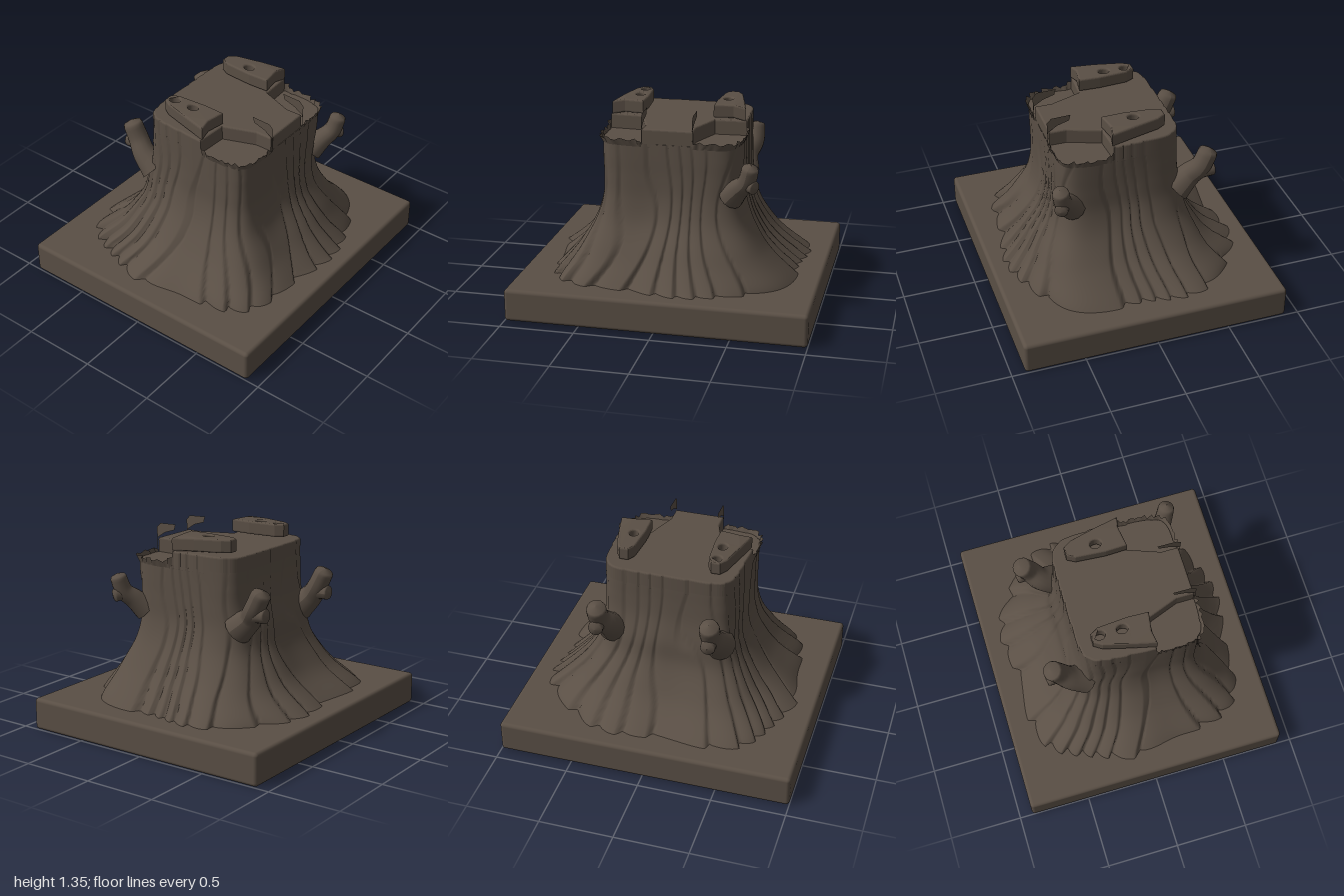
import * as THREE from 'three';
import { RoundedBoxGeometry } from 'three/addons/geometries/RoundedBoxGeometry.js';

const V = (x, y, z) => new THREE.Vector3(x, y, z);
const FLOOR = 1.14; // height of the sunken front pockets
const TOP = 1.24;   // height of the cut top

// Trunk profile: height, half width, front depth, back depth
const PROFILE = [
  [0.19, 0.92, 0.85, 0.85], [0.25, 0.84, 0.78, 0.76], [0.35, 0.72, 0.69, 0.62],
  [0.45, 0.625, 0.62, 0.53], [0.6, 0.53, 0.53, 0.44], [0.75, 0.48, 0.49, 0.41],
  [0.9, 0.468, 0.48, 0.37], [1.03, 0.465, 0.48, 0.355], [FLOOR, 0.465, 0.48, 0.35],
];
const frontCurve = new THREE.CatmullRomCurve3(PROFILE.map(p => V(p[1], p[0], p[2])), false, 'catmullrom');
const backCurve = new THREE.CatmullRomCurve3(PROFILE.map(p => V(p[1], p[0], p[3])), false, 'catmullrom');

// Sharp-edged bark ridges, 0 (crack) to 1 (crest)
function bark(a, y) {
  const sway = 0.12 * Math.sin(4 * y + 3 * a) + 0.05 * Math.sin(9 * y + 5 * a);
  const u = 27 * (a + sway * 0.5) / (2 * Math.PI) + 0.55 * Math.sin(5 * a) + 0.35 * Math.sin(3 * a + 1);
  const f = u - Math.floor(u);
  return f < 0.15 ? f / 0.15 : 1 - Math.pow((f - 0.15) / 0.85, 2) * 0.8;
}

// Point on the trunk at angle a and profile position t
function trunkPoint(a, t) {
  const f = frontCurve.getPoint(t), b = backCurve.getPoint(t);
  const c = Math.cos(a), s = Math.sin(a), n = 2.7 + 4.3 * Math.min(1, t * 1.15);
  const flare = Math.pow(1 - t, 1.5);
  let r = Math.pow(Math.abs(c) ** n + Math.abs(s) ** n, -1 / n);
  r *= 1 - (0.018 + 0.06 * flare) * (1 - bark(a, f.y));
  r *= 1 - 0.035 * flare * (1 + Math.sin(7 * a + 1));
  const mid = (f.z - b.z) / 2, half = (f.z + b.z) / 2;
  const taper = 1 - 0.05 * t * Math.max(0, -s * r);
  return V(f.x * r * c * taper, f.y, mid + half * r * s);
}

function trunkGeometry() {
  const N = 400, M = 44, pos = [], idx = [];
  for (let j = 0; j <= M; j++)
    for (let i = 0; i < N; i++) pos.push(...trunkPoint(i / N * Math.PI * 2, j / M).toArray());
  for (let j = 0; j < M; j++)
    for (let i = 0; i < N; i++) {
      const a = j * N + i, b = j * N + (i + 1) % N;
      idx.push(a, a + N, b, b, a + N, b + N);
    }
  const g = new THREE.BufferGeometry();
  g.setAttribute('position', new THREE.Float32BufferAttribute(pos, 3));
  g.setIndex(idx);
  g.computeVertexNormals();
  return g;
}

// Shape drawn on the ground plane from [x, z] pairs
const planShape = pts => new THREE.Shape(pts.map(([x, z]) => new THREE.Vector2(x, -z)));

function slab(shape, y, height, bevel) {
  const g = new THREE.ExtrudeGeometry(shape, {
    depth: height - 2 * bevel, bevelThickness: bevel, bevelSize: bevel,
    bevelOffset: -bevel, bevelSegments: 3, curveSegments: 16,
  });
  return g.rotateX(-Math.PI / 2).translate(0, y + bevel, 0);
}

// Rounded limb along a curve, with its own radius rule and a closed tip
function limb(points, r0, r1) {
  const curve = new THREE.CatmullRomCurve3(points), n = 20, m = 14;
  const g = new THREE.TubeGeometry(curve, n, 1, m, false), p = g.attributes.position;
  const v = V(0, 0, 0);
  for (let i = 0; i <= n; i++) {
    const t = i / n, c = curve.getPointAt(t);
    const r = i === n ? 0.001 : (r0 + (r1 - r0) * t) * (1 - 0.14 * Math.sin(Math.PI * t)) * (i === n - 1 ? 0.9 : 1);
    for (let k = 0; k <= m; k++) {
      const q = i * (m + 1) + k;
      v.fromBufferAttribute(p, q).sub(c).multiplyScalar(r).add(c);
      p.setXYZ(q, v.x, v.y, v.z);
    }
  }
  g.computeVertexNormals();
  return g;
}

// Torn, jagged strip standing on the outer edge of a pocket
function jaggedRim(a0, a1) {
  const pos = [], idx = [], n = 26;
  for (let i = 0; i <= n; i++) {
    const p = trunkPoint(a0 + (a1 - a0) * i / n, 1);
    const h = 0.012 + 0.022 * Math.abs(Math.sin(i * 2.3)) + (i < 3 ? 0.045 - 0.02 * i : 0);
    const out = 1 + 0.05 * Math.abs(Math.sin(i * 1.7));
    pos.push(p.x, FLOOR - 0.02, p.z, p.x * out, FLOOR + h, p.z * out);
    if (i < n) idx.push(2 * i, 2 * i + 1, 2 * i + 2, 2 * i + 2, 2 * i + 1, 2 * i + 3);
  }
  const g = new THREE.BufferGeometry();
  g.setAttribute('position', new THREE.Float32BufferAttribute(pos, 3));
  g.setIndex(idx);
  g.computeVertexNormals();
  return g;
}

export function createModel() {
  const group = new THREE.Group();
  const wood = new THREE.MeshStandardMaterial({ color: 0x5a4f45 });
  const thin = new THREE.MeshStandardMaterial({ color: 0x5a4f45, side: THREE.DoubleSide });
  const add = (name, geometry, material = wood) => {
    const mesh = new THREE.Mesh(geometry, material);
    mesh.name = name;
    group.add(mesh);
    return mesh;
  };

  // Square plinth
  add('base', new RoundedBoxGeometry(2, 0.22, 1.82, 4, 0.025).translate(0, 0.11, 0));

  // Flared trunk and the floor of its front pockets
  add('trunk', trunkGeometry());
  const outline = [];
  for (let i = 0; i < 240; i++) {
    const p = trunkPoint(-i / 240 * Math.PI * 2, 1);
    outline.push([p.x, p.z]);
  }
  add('pocketFloor', new THREE.ShapeGeometry(planShape(outline)).rotateX(-Math.PI / 2).translate(0, FLOOR, 0), thin);

  // Upper cut: full width behind, narrow tongue between the pockets in front
  const cut = [];
  for (let i = 0; i <= 160; i++) {
    const p = trunkPoint(0.6 - i / 160 * (Math.PI + 1.2), 1);
    if (p.z < 0.145) cut.push([p.x, p.z]);
  }
  cut.push([-0.25, 0.145], [-0.17, 0.36], [-0.17, 0.475], [0.17, 0.475], [0.17, 0.36], [0.25, 0.145]);
  add('trunkTop', slab(planShape(cut), FLOOR - 0.03, TOP - FLOOR + 0.03, 0.012));

  for (const [side, s] of [['left', 1], ['right', -1]]) {
    // Torn pocket rims
    const a = s > 0 ? [0.16, 1.22] : [Math.PI - 0.16, Math.PI - 1.22];
    add(side + 'PocketRim', jaggedRim(...a), thin);

    // Wedge-shaped remnant with two holes
    const wedge = planShape([
      [0.25, -0.2], [0.28, -0.255], [0.34, -0.255], [0.375, -0.2], [0.42, -0.02],
      [0.455, 0.14], [0.37, 0.125], [0.24, 0.145], [0.235, 0],
    ].map(([x, z]) => [s * x, z]));
    for (const z of [-0.2, -0.05]) {
      const hole = new THREE.Path();
      hole.absellipse(s * 0.305, -z, 0.03, 0.037, 0, Math.PI * 2);
      wedge.holes.push(hole);
    }
    const remnant = slab(wedge, 1.25, 0.09, 0.012), p = remnant.attributes.position;
    for (let i = 0; i < p.count; i++) // outer end dips slightly
      p.setY(i, p.getY(i) - 0.25 * Math.max(0, Math.abs(p.getX(i)) - 0.4));
    remnant.computeVertexNormals();
    add(side + 'Remnant', remnant);

    // Thin upright splinter at the front
    const flag = new THREE.Shape([
      [0.478, 1.13], [0.486, 1.13], [0.483, 1.24], [0.42, 1.28], [0.34, 1.305],
      [0.33, 1.345], [0.46, 1.34], [0.49, 1.31], [0.486, 1.24],
    ].map(([z, y]) => new THREE.Vector2(-z, y)));
    add(side + 'Splinter', new THREE.ShapeGeometry(flag).rotateY(Math.PI / 2).translate(s * 0.168, 0, 0), thin);
  }

  // Forked branch stubs: two behind, one at the front left corner
  for (const [name, x0, x1] of [['left', 0.37, 0.41], ['right', -0.37, -0.35]]) {
    add(name + 'BackBranch', limb([V(x0, 0.76, -0.33), V(x0, 0.85, -0.43), V(x1, 0.93, -0.49), V(x1, 1.06, -0.552)], 0.105, 0.066));
    add(name + 'BackBranchFork', limb([V(x0, 0.85, -0.42), V(x1, 0.89, -0.5), V(x1, 0.895, -0.59)], 0.07, 0.05));
  }
  add('frontBranch', limb([V(0.41, 0.8, 0.4), V(0.47, 0.87, 0.45), V(0.525, 0.93, 0.495), V(0.56, 1.055, 0.525)], 0.09, 0.055));
  add('frontBranchFork', limb([V(0.47, 0.87, 0.45), V(0.54, 0.91, 0.5), V(0.595, 0.905, 0.535)], 0.06, 0.045));

  return group;
}
